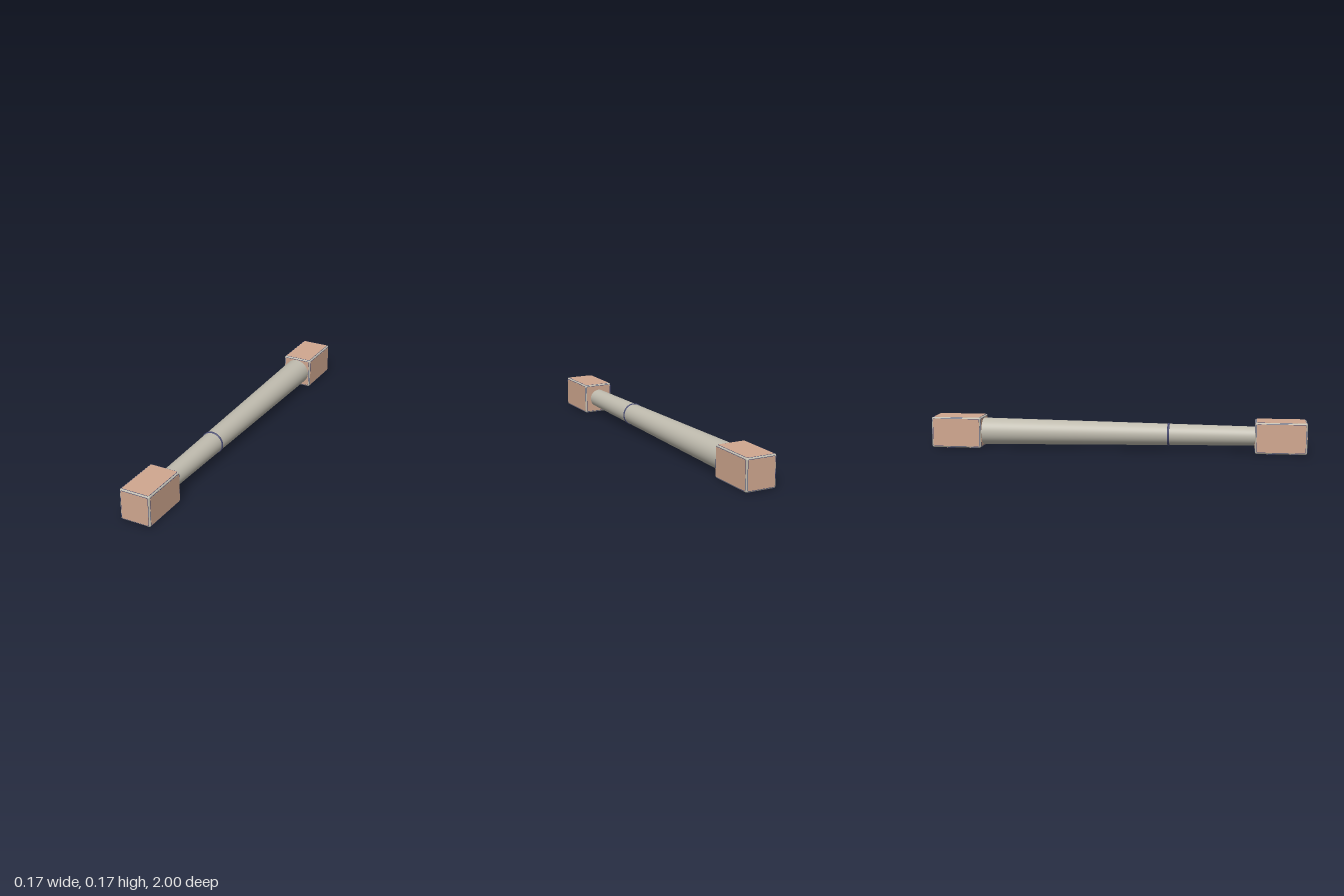
import * as THREE from 'three';
import { RoundedBoxGeometry } from 'three/addons/geometries/RoundedBoxGeometry.js';

const material = (name, color) => Object.assign(new THREE.MeshStandardMaterial({ color }), { name });

// Thin plate with rounded corners, lying in XY and facing +z from z = 0
function plate(w, h, r, depth) {
  const s = new THREE.Shape();
  const x = w / 2, y = h / 2;
  s.moveTo(-x + r, -y);
  s.lineTo(x - r, -y).absarc(x - r, -y + r, r, -Math.PI / 2, 0);
  s.lineTo(x, y - r).absarc(x - r, y - r, r, 0, Math.PI / 2);
  s.lineTo(-x + r, y).absarc(-x + r, y - r, r, Math.PI / 2, Math.PI);
  s.lineTo(-x, -y + r).absarc(-x + r, -y + r, r, Math.PI, Math.PI * 1.5);
  return new THREE.ExtrudeGeometry(s, { depth, bevelEnabled: false, curveSegments: 5 });
}

export function createModel() {
  const stone = material('warm grey stone', 0xbfbbae);
  const clay = material('clay panel', 0xd0a78f);
  const navy = material('dark navy trim', 0x454870);

  const model = new THREE.Group();
  model.name = 'baluster';
  const add = (parent, name, geometry, mat) => {
    const mesh = new THREE.Mesh(geometry, mat);
    mesh.name = name;
    parent.add(mesh);
    return mesh;
  };

  const W = 0.164, L = 0.269, PROUD = 0.001, CY = W / 2 + PROUD;
  const MARGIN = 0.0075, LINE = 0.002;

  // End block: rounded frame with an outlined panel on each of its six faces
  function endBlock(name) {
    const block = new THREE.Group();
    block.name = name;
    add(block, 'blockFrame', new RoundedBoxGeometry(W, W, L, 3, 0.009), stone);
    const faces = [
      [W, W, L, 0, 0], [W, W, L, 0, Math.PI],
      [L, W, W, 0, Math.PI / 2], [L, W, W, 0, -Math.PI / 2],
      [W, L, W, Math.PI / 2, 0], [W, L, W, -Math.PI / 2, 0],
    ];
    for (const [w, h, d, rx, ry] of faces) {
      const face = new THREE.Group();
      face.name = 'facePanel';
      face.rotation.set(rx, ry, 0);
      const pw = w - 2 * MARGIN, ph = h - 2 * MARGIN;
      const trim = add(face, 'panelOutline', plate(pw + LINE, ph + LINE, 0.009, 0.0025), navy);
      trim.position.z = d / 2 - 0.002;
      const panel = add(face, 'panel', plate(pw - LINE, ph - LINE, 0.007, 0.003), clay);
      panel.position.z = d / 2 + PROUD - 0.003;
      block.add(face);
    }
    model.add(block);
    return block;
  }
  const zBlock = 1 - PROUD - L / 2;
  endBlock('frontBlock').position.set(0, CY, zBlock);
  endBlock('backBlock').position.set(0, CY, -zBlock);

  // Tapered shaft, narrow toward the front
  const shaft = add(model, 'shaft', new THREE.CylinderGeometry(0.05, 0.072, 1.48, 48, 1), stone);
  shaft.rotation.x = Math.PI / 2;
  shaft.position.y = CY;

  // Slim collar ring around the shaft
  const ring = add(model, 'collarRing', new THREE.TorusGeometry(0.0555, 0.006, 10, 48), navy);
  ring.position.set(0, CY, 0.275);

  return model;
}
